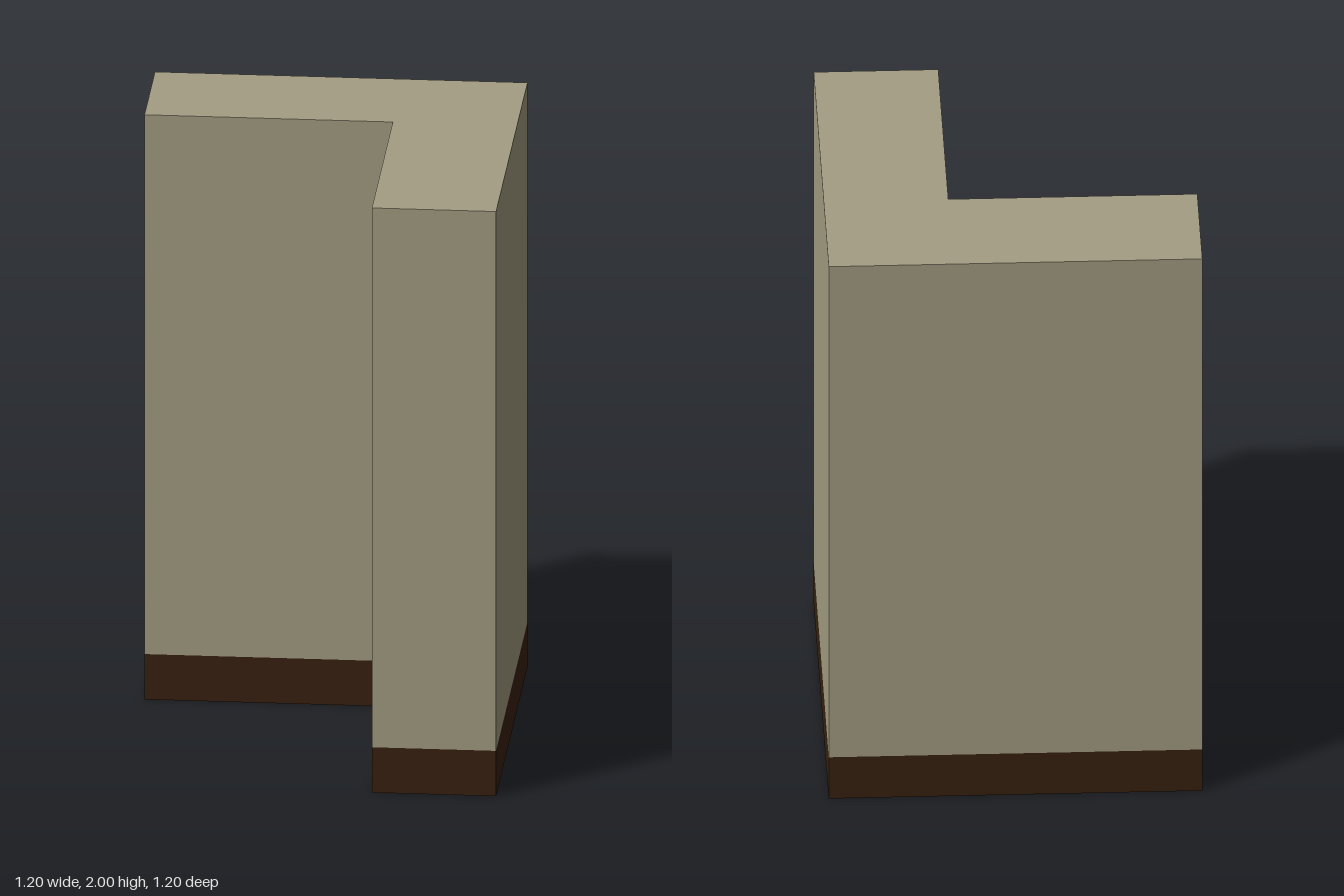
import * as THREE from 'three';
import { mergeGeometries } from 'three/addons/utils/BufferGeometryUtils.js';

// L-shaped footprint as [x, z], each wall facing outward
const OUTLINE = [[-0.6, -0.2], [0.2, -0.2], [0.2, 0.6], [0.6, 0.6], [0.6, -0.6], [-0.6, -0.6]];
const HEIGHT = 2;
const BASE_HEIGHT = 0.155;

// Ring of thin upright panels following the footprint
function wallRing(y0, y1) {
  const panels = OUTLINE.map(([ax, az], i) => {
    const [bx, bz] = OUTLINE[(i + 1) % OUTLINE.length];
    const dx = bx - ax, dz = bz - az;
    return new THREE.PlaneGeometry(Math.hypot(dx, dz), y1 - y0)
      .rotateY(Math.atan2(-dz, dx))
      .translate((ax + bx) / 2, (y0 + y1) / 2, (az + bz) / 2);
  });
  return mergeGeometries(panels);
}

export function createModel() {
  const plaster = new THREE.MeshStandardMaterial({ color: 0xa39d82, side: THREE.DoubleSide });
  plaster.name = 'plaster';
  const darkWood = new THREE.MeshStandardMaterial({ color: 0x38210f, side: THREE.DoubleSide });
  darkWood.name = 'darkWood';

  const group = new THREE.Group();
  group.name = 'cornerWall';
  const add = (name, geometry, material) => {
    const mesh = new THREE.Mesh(geometry, material);
    mesh.name = name;
    group.add(mesh);
  };

  // Hollow walls and skirting, open underneath
  add('baseboard', wallRing(0, BASE_HEIGHT), darkWood);
  add('walls', wallRing(BASE_HEIGHT, HEIGHT), plaster);

  // Flat cap closing the top
  const shape = new THREE.Shape(OUTLINE.map(([x, z]) => new THREE.Vector2(x, -z)));
  add('topCap', new THREE.ShapeGeometry(shape).rotateX(-Math.PI / 2).translate(0, HEIGHT, 0), plaster);

  return group;
}
